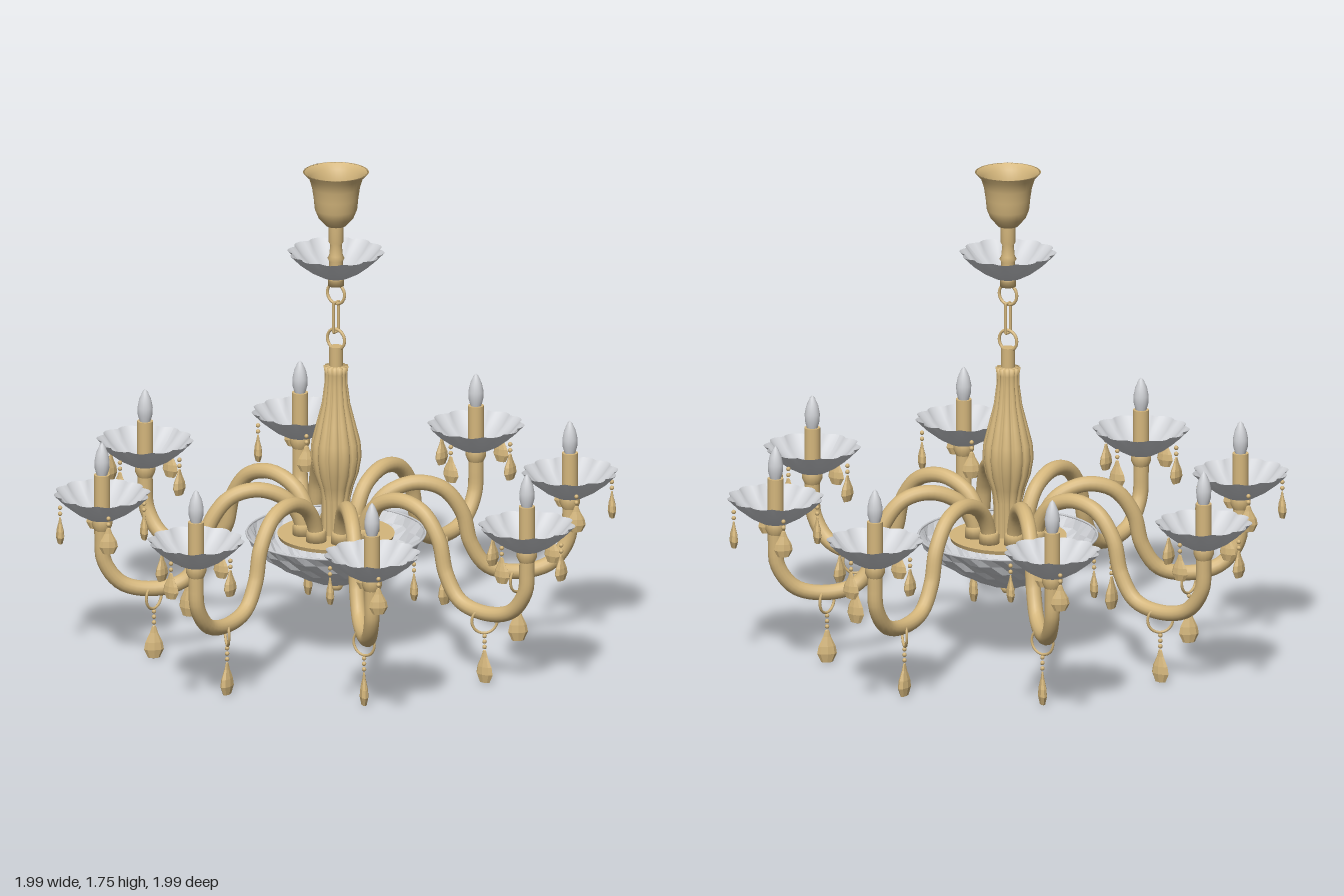
import * as THREE from 'three';

const gold = new THREE.MeshStandardMaterial({ color: 0xd4b67c, side: THREE.DoubleSide });
gold.name = 'champagne gold';
const glass = new THREE.MeshStandardMaterial({ color: 0xcfd1d5, side: THREE.DoubleSide });
glass.name = 'silver glass';

const ARMS = 8;
const ARM_REACH = 0.825;

function add(parent, name, geometry, material, x = 0, y = 0, z = 0) {
  const mesh = new THREE.Mesh(geometry, material);
  mesh.name = name;
  mesh.position.set(x, y, z);
  parent.add(mesh);
  return mesh;
}

// Surface of revolution from [radius, height] pairs, bottom to top
function lathe(points, segments = 24) {
  return new THREE.LatheGeometry(points.map(([r, y]) => new THREE.Vector2(r, y)), segments);
}

// Scales the radius of a lathe by a rule of angle, height and radius
function reshape(geometry, rule, flat = false) {
  const p = geometry.attributes.position;
  for (let i = 0; i < p.count; i++) {
    const x = p.getX(i), y = p.getY(i), z = p.getZ(i);
    const k = rule(Math.atan2(x, z), y, Math.hypot(x, z));
    p.setXYZ(i, x * k, y, z * k);
  }
  const result = flat ? geometry.toNonIndexed() : geometry;
  result.computeVertexNormals();
  return result;
}

// Shallow dish with twelve scalloped flutes, deeper towards the rim
function scallopedDish() {
  const dish = lathe([[0.02, 0], [0.05, 0.006], [0.09, 0.028], [0.13, 0.06], [0.163, 0.096]], 72);
  return reshape(dish, (a, y) => 1 + 0.05 * (y / 0.096) * (2 * Math.abs(Math.cos(6 * a)) - 1.1));
}

// Flattened, faceted teardrop hanging from y = 0
function teardrop(h, w) {
  const g = lathe([[0, -h], [w * 0.3, -h * 0.97], [w * 0.5, -h * 0.72], [w * 0.43, -h * 0.5],
    [w * 0.2, -h * 0.22], [w * 0.1, -h * 0.03], [0, 0]], 8);
  g.scale(1, 1, 0.45);
  return reshape(g, () => 1, true);
}

const dishGeometry = scallopedDish();
const beadGeometry = new THREE.SphereGeometry(0.008, 8, 6);
const smallDrop = teardrop(0.098, 0.066);
const largeDrop = teardrop(0.122, 0.07);

// Short bead string with a drop at the end
function pendant(name, beads, spacing, drop) {
  const g = new THREE.Group();
  g.name = name;
  for (let i = 0; i < beads; i++) add(g, 'bead', beadGeometry, gold, 0, -spacing * (i + 0.5), 0);
  add(g, 'crystalDrop', drop, gold, 0, -spacing * beads, 0);
  return g;
}

// Double curved arm running out along +x
const armPath = new THREE.CatmullRomCurve3([
  [0.115, 0.42], [0.125, 0.49], [0.175, 0.566], [0.275, 0.605], [0.375, 0.58], [0.445, 0.49],
  [0.475, 0.375], [0.535, 0.288], [0.645, 0.262], [0.755, 0.288], [0.817, 0.37],
  [ARM_REACH, 0.46], [ARM_REACH, 0.54],
].map(([x, y]) => new THREE.Vector3(x, y, 0)));
const armGeometry = new THREE.TubeGeometry(armPath, 56, 0.027, 14);
const socketGeometry = lathe([[0, 0], [0.036, 0], [0.036, 0.035], [0.03, 0.045], [0, 0.045]], 16);
const candleGeometry = new THREE.CylinderGeometry(0.028, 0.028, 0.155, 18);
const collarGeometry = lathe([[0.027, 0], [0.036, 0.02], [0.036, 0.045], [0.027, 0.05]], 16);
const bulbGeometry = lathe([[0.019, 0], [0.026, 0.025], [0.027, 0.05], [0.021, 0.08], [0.009, 0.108], [0, 0.118]], 16);
const ringGeometry = new THREE.TorusGeometry(0.045, 0.005, 6, 28);

function makeArm(index) {
  const arm = new THREE.Group();
  arm.name = 'arm' + (index + 1);
  add(arm, 'curvedArm', armGeometry, gold);
  add(arm, 'armSocket', socketGeometry, gold, 0.117, 0.43, 0);
  add(arm, 'dishCollar', collarGeometry, gold, ARM_REACH, 0.485, 0);
  add(arm, 'candleDish', dishGeometry, glass, ARM_REACH, 0.523, 0);
  add(arm, 'candleSleeve', candleGeometry, gold, ARM_REACH, 0.61, 0);
  add(arm, 'bulb', bulbGeometry, glass, ARM_REACH, 0.687, 0);

  // Four drops around the dish, each facing outwards
  for (let i = 0; i < 4; i++) {
    const a = i * Math.PI / 2;
    const drop = pendant('dishPendant', 2, 0.022, smallDrop);
    drop.position.set(ARM_REACH + 0.148 * Math.sin(a), 0.584, 0.148 * Math.cos(a));
    drop.rotation.y = a;
    arm.add(drop);
  }

  // Ring looped round the bottom of the arm with a long pendant
  add(arm, 'pendantRing', ringGeometry, gold, 0.642, 0.234, 0).rotation.y = Math.PI / 4;
  const low = pendant('armPendant', 3, 0.02, largeDrop);
  low.position.set(0.642, 0.188, 0);
  arm.add(low);

  arm.rotation.y = index * Math.PI * 2 / ARMS;
  return arm;
}

function makeHub() {
  const hub = new THREE.Group();
  hub.name = 'hub';
  // Bowl with staggered cut facets
  const bowl = lathe([[0.02, 0.252], [0.07, 0.262], [0.12, 0.284], [0.17, 0.31], [0.215, 0.336],
    [0.255, 0.366], [0.288, 0.4], [0.312, 0.435]], 48);
  const rows = [0.262, 0.284, 0.31, 0.336, 0.366, 0.4];
  add(hub, 'cutGlassBowl', reshape(bowl, (a, y) => {
    const row = rows.findIndex((v) => Math.abs(v - y) < 0.002);
    return row < 0 ? 1 : 1 + 0.035 * Math.cos(12 * a + row * Math.PI);
  }, true), glass);
  add(hub, 'bowlRim', new THREE.TorusGeometry(0.312, 0.004, 6, 48), glass, 0, 0.435, 0).rotation.x = Math.PI / 2;
  add(hub, 'hubPlate', new THREE.CylinderGeometry(0.205, 0.2, 0.014, 40), gold, 0, 0.428, 0);
  add(hub, 'bottomFinial', lathe([[0, 0.222], [0.018, 0.228], [0.026, 0.242], [0.02, 0.256], [0, 0.26]], 16), gold);
  return hub;
}

function makeColumn() {
  const column = new THREE.Group();
  column.name = 'column';
  // Vase shaped stem with deep flutes
  const stem = lathe([[0.05, 0.43], [0.05, 0.56], [0.062, 0.61], [0.08, 0.66], [0.09, 0.72], [0.086, 0.77],
    [0.068, 0.84], [0.05, 0.91], [0.041, 0.98], [0.04, 1.02], [0.044, 1.045], [0, 1.05]], 96);
  add(column, 'flutedStem', reshape(stem, (a) => 0.86 + 0.14 * Math.sqrt(Math.abs(Math.cos(6 * a)))), gold);
  add(column, 'stemNeck', new THREE.CylinderGeometry(0.024, 0.024, 0.075, 18), gold, 0, 1.08, 0);
  return column;
}

function makeChain() {
  const chain = new THREE.Group();
  chain.name = 'chain';
  for (const y of [1.143, 1.31]) {
    add(chain, 'roundLink', new THREE.TorusGeometry(0.037, 0.0055, 8, 28), gold, 0, y, 0).rotation.y = Math.PI / 2;
  }
  const link = new THREE.CurvePath();
  const c = [[-0.015, 1.17], [0.015, 1.17], [0.015, 1.278], [-0.015, 1.278]].map(([x, y]) => new THREE.Vector3(x, y, 0));
  c.forEach((p, i) => link.add(new THREE.LineCurve3(p, c[(i + 1) % 4])));
  add(chain, 'longLink', new THREE.TubeGeometry(link, 80, 0.005, 8, true), gold);
  return chain;
}

function makeCanopy() {
  const canopy = new THREE.Group();
  canopy.name = 'canopy';
  add(canopy, 'lowerCap', lathe([[0, 1.34], [0.028, 1.34], [0.028, 1.362], [0.035, 1.37], [0.02, 1.385]], 20), gold);
  add(canopy, 'canopyDish', dishGeometry, glass, 0, 1.368, 0);
  add(canopy, 'canopyStem', lathe([[0.024, 1.37], [0.024, 1.43], [0.03, 1.44], [0.024, 1.45], [0.02, 1.49],
    [0.026, 1.5], [0.026, 1.56]], 18), gold);
  // Flared ceiling cup, open at the top
  add(canopy, 'ceilingCup', lathe([[0, 1.558], [0.035, 1.56], [0.062, 1.59], [0.074, 1.62], [0.078, 1.66],
    [0.084, 1.7], [0.095, 1.735], [0.115, 1.755], [0.108, 1.755], [0.09, 1.735], [0.079, 1.7], [0.073, 1.66],
    [0.068, 1.62], [0.05, 1.59], [0, 1.575]], 40), gold);
  add(canopy, 'ceilingNut', new THREE.CylinderGeometry(0.028, 0.028, 0.02, 16), gold, 0, 1.59, 0);
  return canopy;
}

export function createModel() {
  const model = new THREE.Group();
  model.name = 'chandelier';
  model.add(makeHub(), makeColumn(), makeChain(), makeCanopy());
  for (let i = 0; i < ARMS; i++) model.add(makeArm(i));
  return model;
}
